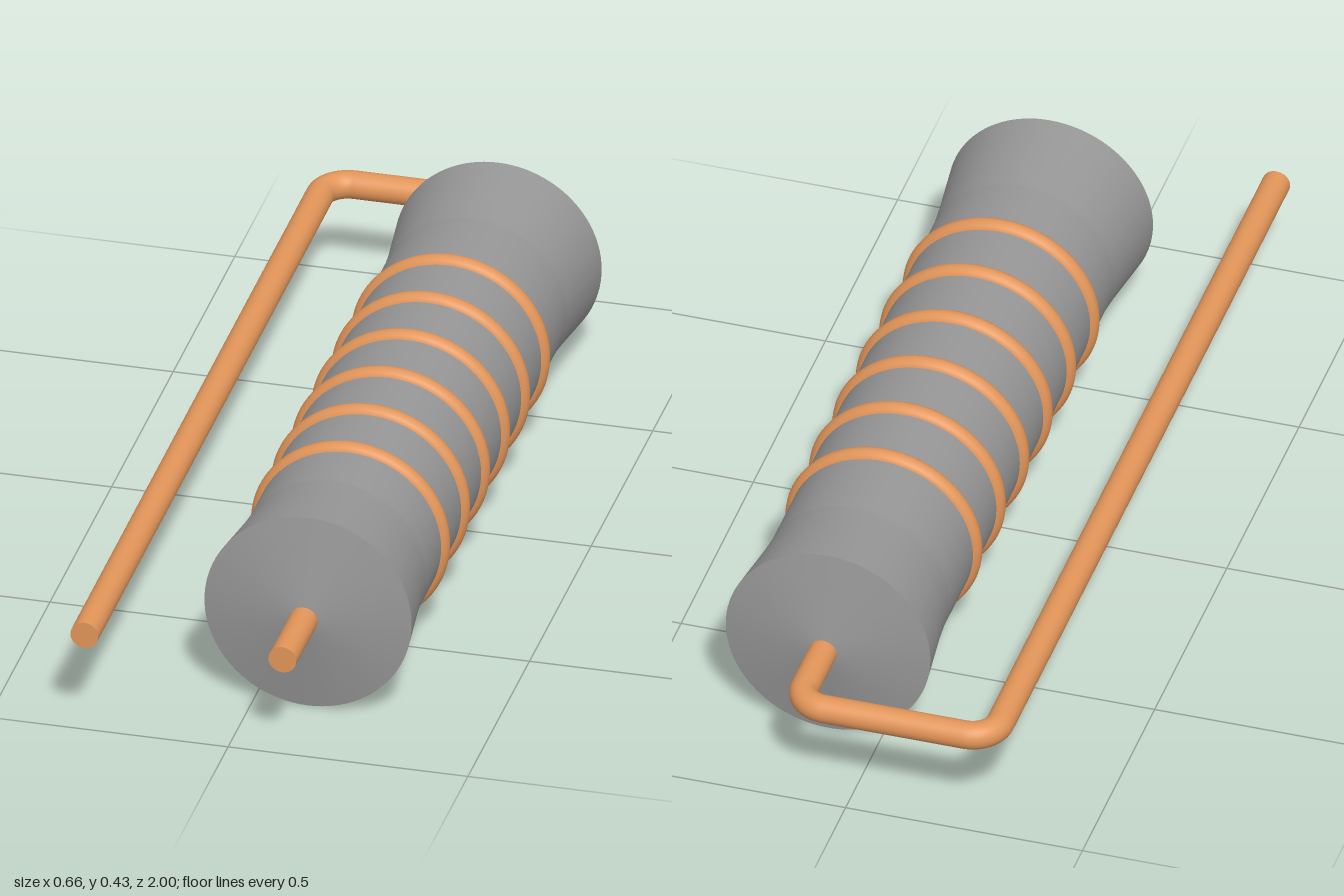
import * as THREE from 'three';

const X = 0.113, Y = 0.217, Z = 0.02; // centre of the body
const WIRE = 0.029, BEND = 0.058;     // lead radius, bend radius
const SIDE_X = -0.3, BACK_Z = -0.971;

export function createModel() {
  const model = new THREE.Group();
  const ceramic = new THREE.MeshStandardMaterial({ color: 0x969696 });
  const copper = new THREE.MeshStandardMaterial({ color: 0xe29559 });

  const add = (parent, name, geometry, material, x, y, z) => {
    const mesh = new THREE.Mesh(geometry, material);
    mesh.name = name;
    mesh.position.set(x, y, z);
    parent.add(mesh);
    return mesh;
  };

  // Core: straight barrel, a flare at each end, closed by shallow cones
  const body = new THREE.Group();
  body.name = 'body';
  body.position.set(X, Y, Z);
  model.add(body);
  const lathe = (points) =>
    new THREE.LatheGeometry(points.map(([r, h]) => new THREE.Vector2(r, h)), 96).rotateX(Math.PI / 2);
  add(body, 'barrel', lathe([[0.194, -0.57], [0.194, 0.57]]), ceramic, 0, 0, 0);
  for (const [end, turn] of [['front', 0], ['back', Math.PI]]) {
    const flare = lathe([[0.194, 0.57], [0.199, 0.63], [0.216, 0.771]]);
    const cone = lathe([[0.216, 0.771], [0, 0.813]]);
    add(body, end + 'Flare', flare, ceramic, 0, 0, 0).rotation.y = turn;
    add(body, end + 'Cone', cone, ceramic, 0, 0, 0).rotation.y = turn;
  }

  // Six evenly spaced rings around the barrel
  const rings = new THREE.Group();
  rings.name = 'rings';
  model.add(rings);
  for (let i = 0; i < 6; i++) {
    add(rings, 'ring', new THREE.TorusGeometry(0.187, 0.0205, 16, 96), copper, X, Y, 0.447 - i * 0.1624);
  }

  // Leads: a short front one, and a back one folded forward along the right side
  const leads = new THREE.Group();
  leads.name = 'leads';
  model.add(leads);
  const rodZ = (name, x, z0, z1) => add(leads, name,
    new THREE.CylinderGeometry(WIRE, WIRE, z1 - z0, 32).rotateX(Math.PI / 2), copper, x, Y, (z0 + z1) / 2);
  const bend = (name, x, start) => add(leads, name,
    new THREE.TorusGeometry(BEND, WIRE, 32, 12, Math.PI / 2).rotateZ(start).rotateX(-Math.PI / 2),
    copper, x, Y, BACK_Z + BEND);

  rodZ('frontLead', X, 0.78, 1);
  rodZ('backLead', X, BACK_Z + BEND, -0.74);
  rodZ('returnLead', SIDE_X, BACK_Z + BEND, 1);
  bend('innerBend', X - BEND, 0);
  bend('outerBend', SIDE_X + BEND, Math.PI / 2);
  add(leads, 'crossLead',
    new THREE.CylinderGeometry(WIRE, WIRE, X - SIDE_X - 2 * BEND, 32).rotateZ(Math.PI / 2),
    copper, (X + SIDE_X) / 2, Y, BACK_Z);

  return model;
}
